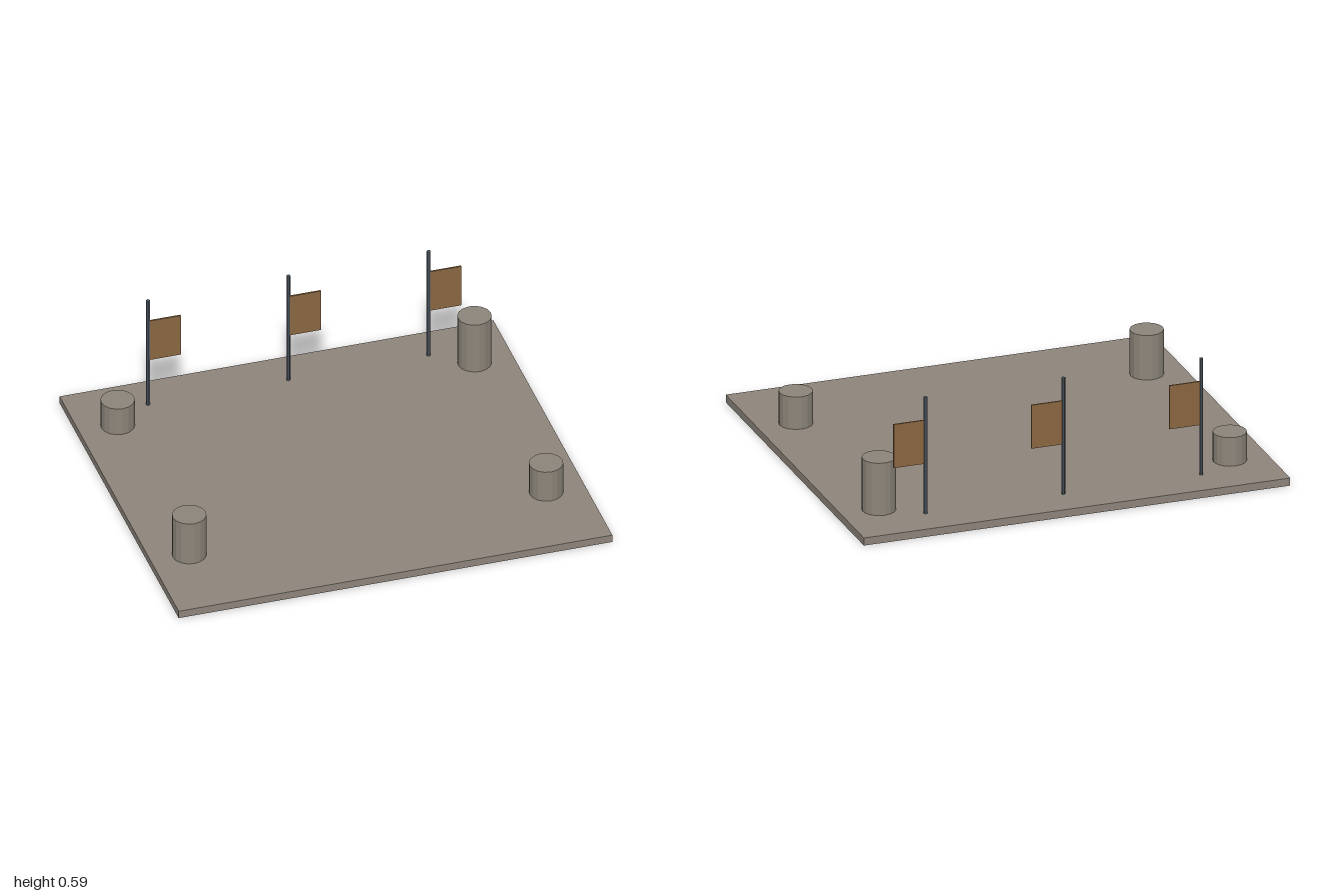
import * as THREE from 'three';

const material = (name, color, flatShading = false) => {
  const m = new THREE.MeshStandardMaterial({ color, flatShading });
  m.name = name;
  return m;
};

export function createModel() {
  const stone = material('stone', 0x8f867c);
  const columnStone = material('columnStone', 0x8d867b, true);
  const steel = material('steel', 0x56616b, true);
  const cloth = material('cloth', 0x8b6842);

  const model = new THREE.Group();
  const add = (name, geometry, mat, x, y, z, parent = model) => {
    const mesh = new THREE.Mesh(geometry, mat);
    mesh.name = name;
    mesh.position.set(x, y, z);
    parent.add(mesh);
  };

  // Floor slab
  const floor = 0.036;
  add('floorSlab', new THREE.BoxGeometry(2, floor, 1.76), stone, 0, floor / 2, 0);

  // Broken column stumps: x, z, top height
  const stumps = [
    [-0.823, 0.468, 0.248],
    [0.823, 0.468, 0.19],
    [0.823, -0.59, 0.285],
    [-0.823, -0.59, 0.172],
  ];
  for (const [x, z, top] of stumps) {
    const h = top - floor;
    add('columnStump', new THREE.CylinderGeometry(0.076, 0.076, h, 16), columnStone, x, floor + h / 2, z);
  }

  // Row of banners along the back edge
  for (const x of [-0.647, 0, 0.647]) {
    const banner = new THREE.Group();
    banner.name = 'banner';
    banner.position.set(x, 0, -0.705);
    add('pole', new THREE.CylinderGeometry(0.009, 0.009, 0.58, 8), steel, 0, 0.3, 0, banner);
    add('flag', new THREE.BoxGeometry(0.147, 0.207, 0.008), cloth, 0.0765, 0.377, 0, banner);
    model.add(banner);
  }
  return model;
}
